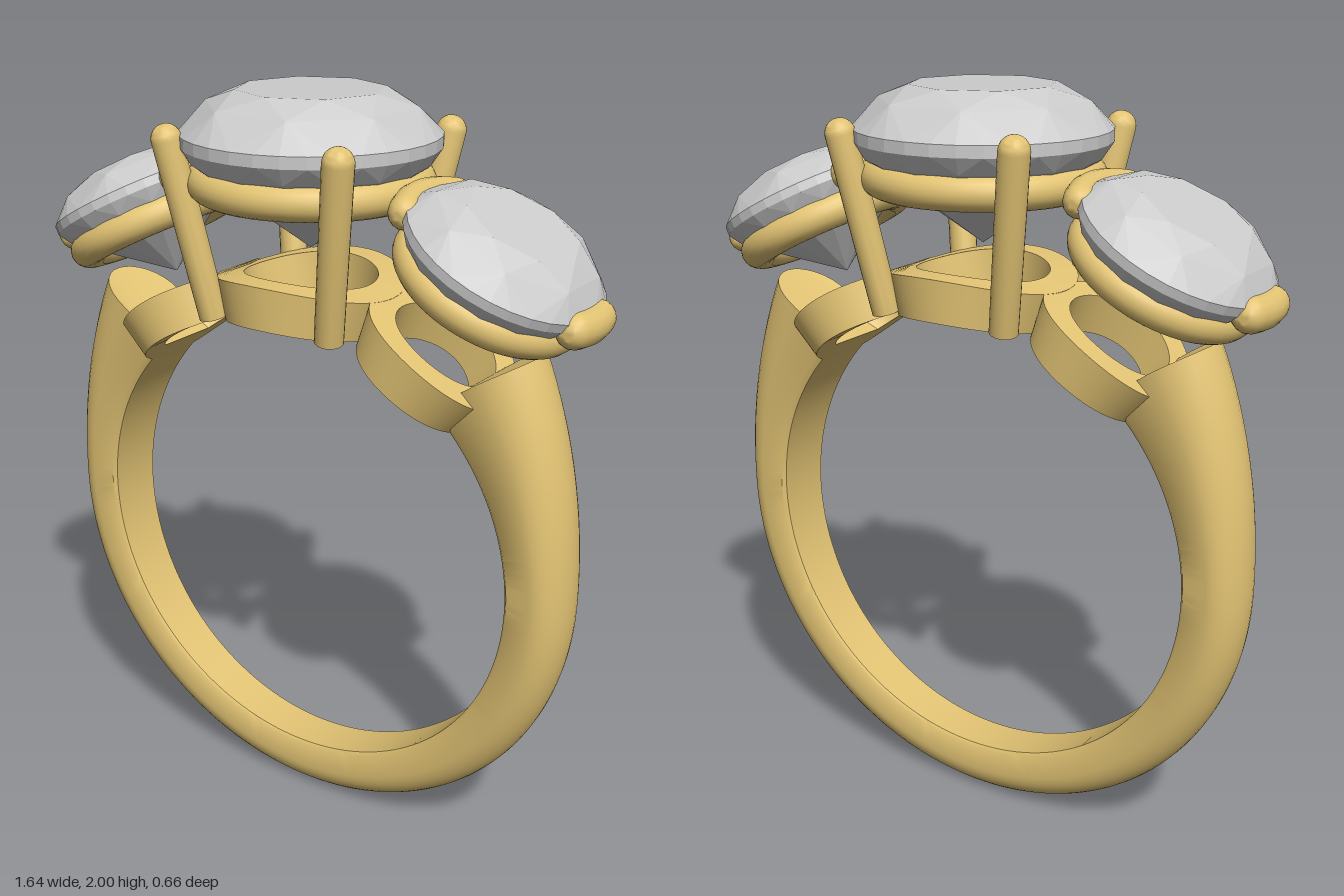
import * as THREE from 'three';
import { toCreasedNormals } from 'three/addons/utils/BufferGeometryUtils.js';
import { ConvexGeometry } from 'three/addons/geometries/ConvexGeometry.js';

const CY = 0.795;      // height of the finger hole centre
const R_IN = 0.645;    // finger hole radius
const rad = THREE.MathUtils.degToRad;
const gold = new THREE.MeshStandardMaterial({ color: 0xe3c474 });
const stone = new THREE.MeshStandardMaterial({ color: 0xcccccc, flatShading: true });

function add(parent, name, geometry, material = gold) {
  const mesh = new THREE.Mesh(geometry, material);
  mesh.name = name;
  parent.add(mesh);
  return mesh;
}

// Move every vertex by a rule, then rebuild smooth normals with sharp creases
function bend(geometry, rule) {
  const p = geometry.attributes.position;
  for (let i = 0; i < p.count; i++) p.setXYZ(i, ...rule(p.getX(i), p.getY(i), p.getZ(i)));
  return toCreasedNormals(geometry, rad(40));
}

// Open band: D-shaped section, taller and wider towards its two shoulders
function shankGeometry() {
  const section = [[0.82, 0], [0.92, 0.06]]; // [across, inner-to-outer]
  for (let i = 0; i <= 16; i++) {
    const a = Math.PI * i / 16;
    section.push([Math.cos(a), 0.5 + 0.5 * Math.sin(a)]);
  }
  section.push([-0.92, 0.06], [-0.82, 0]);
  const n = section.length, steps = 120, pos = [], index = [];
  for (let k = 0; k <= steps; k++) {
    const t = 2 * k / steps - 1;
    for (const [w, u] of section) {
      const deg = t * (139 - 5 * u); // measured from the bottom
      const grow = Math.max(0, Math.abs(deg) - 90) / 45;
      const r = R_IN + u * (0.15 + 0.14 * grow * grow);
      const a = rad(270 + deg), y = CY + r * Math.sin(a);
      const half = 0.07 + 0.045 * Math.min(1, y / 1.4);
      pos.push(r * Math.cos(a), y, w * half);
    }
  }
  for (let k = 0; k < steps; k++) {
    for (let i = 0; i < n; i++) {
      const a = k * n + i, b = k * n + (i + 1) % n;
      index.push(a, b, b + n, a, b + n, a + n);
    }
  }
  const end = steps * n;
  for (let i = 1; i < n - 1; i++) index.push(0, i + 1, i, end, end + i, end + i + 1);
  const g = new THREE.BufferGeometry();
  g.setAttribute('position', new THREE.Float32BufferAttribute(pos, 3));
  g.setIndex(index);
  return toCreasedNormals(g, rad(40));
}

// Flat ring wrapped around the finger hole, tilted by an angle from the top
function galleryGeometry(inner, outer, tilt) {
  const lo = R_IN, hi = 0.755;
  const profile = [[inner, lo], [outer, lo], [outer, hi], [inner, hi], [inner, lo]];
  const g = new THREE.LatheGeometry(profile.map(p => new THREE.Vector2(...p)), 64);
  return bend(g, (x, y, z) => {
    const a = tilt + x / 0.7;
    return [y * Math.sin(a), CY + y * Math.cos(a), z];
  });
}

// Faceted brilliant with its girdle at y = 0
function gemGeometry(radius) {
  const s = radius / 0.33, points = [new THREE.Vector3(0, -0.28 * s, 0)];
  const tiers = [
    [0.19, 0.12, 8, 0], [0.27, 0.083, 8, 0.5], [0.33, 0.015, 32, 0],
    [0.33, -0.015, 32, 0], [0.3, -0.06, 16, 0],
  ]; // radius, height, corners, turn
  for (const [r, y, count, turn] of tiers) {
    for (let i = 0; i < count; i++) {
      const a = (i + turn) / count * Math.PI * 2;
      points.push(new THREE.Vector3(r * s * Math.cos(a), y * s, r * s * Math.sin(a)));
    }
  }
  return new ConvexGeometry(points);
}

// Round bar with domed ends, curved around the girdle on the +x side
function clawGeometry(R, r, length) {
  const g = new THREE.CapsuleGeometry(r, length, 8, 16, 16);
  return bend(g, (x, y, z) => [(R + x) * Math.cos(y / R), -z, (R + x) * Math.sin(y / R)]);
}

// Straight wire with a flat foot and a domed tip
function prong(parent, from, to, r) {
  const length = from.distanceTo(to);
  const profile = [new THREE.Vector2(0, 0), new THREE.Vector2(r * 0.95, 0)];
  for (let i = 0; i <= 8; i++) {
    const a = Math.PI / 2 * i / 8;
    profile.push(new THREE.Vector2(i === 8 ? 0 : r * Math.cos(a), length + r * Math.sin(a)));
  }
  const mesh = add(parent, 'centreProng', toCreasedNormals(new THREE.LatheGeometry(profile, 20), rad(40)));
  mesh.position.copy(from);
  mesh.quaternion.setFromUnitVectors(new THREE.Vector3(0, 1, 0), to.clone().sub(from).normalize());
}

export function createModel() {
  const ring = new THREE.Group();
  ring.name = 'threeStoneRing';
  add(ring, 'shank', shankGeometry());
  add(ring, 'centreGallery', galleryGeometry(0.165, 0.235, 0));

  // Centre setting
  const centre = new THREE.Group();
  centre.name = 'centreSetting';
  ring.add(centre);
  add(centre, 'centreStone', gemGeometry(0.33), stone).position.y = 1.88;
  const basket = add(centre, 'centreBasket', new THREE.TorusGeometry(0.27, 0.045, 20, 72).rotateX(Math.PI / 2));
  basket.position.y = 1.775;
  for (const x of [-1, 1]) {
    for (const z of [-1, 1]) {
      prong(centre, new THREE.Vector3(0.18 * x, 1.43, 0.18 * z),
        new THREE.Vector3(0.253 * x, 1.885, 0.253 * z), 0.039);
    }
  }

  // Side settings, leaning outwards
  for (const s of [-1, 1]) {
    const side = s > 0 ? 'left' : 'right';
    add(ring, side + 'Gallery', galleryGeometry(0.135, 0.2, s * rad(33)));
    const setting = new THREE.Group();
    setting.name = side + 'Setting';
    setting.position.set(0.555 * s, 1.662, 0);
    setting.rotation.z = -s * rad(28);
    ring.add(setting);
    add(setting, side + 'Stone', gemGeometry(0.26), stone);
    const bezel = add(setting, side + 'Basket', new THREE.TorusGeometry(0.205, 0.045, 20, 64).rotateX(Math.PI / 2));
    bezel.position.y = -0.08;
    const outer = add(setting, side + 'OuterClaw', clawGeometry(0.255, 0.045, 0.12));
    const inner = add(setting, side + 'InnerClaw', clawGeometry(0.255, 0.042, 0.24));
    (s > 0 ? inner : outer).rotation.y = Math.PI;
    outer.position.y = inner.position.y = -0.01;
  }
  return ring;
}
